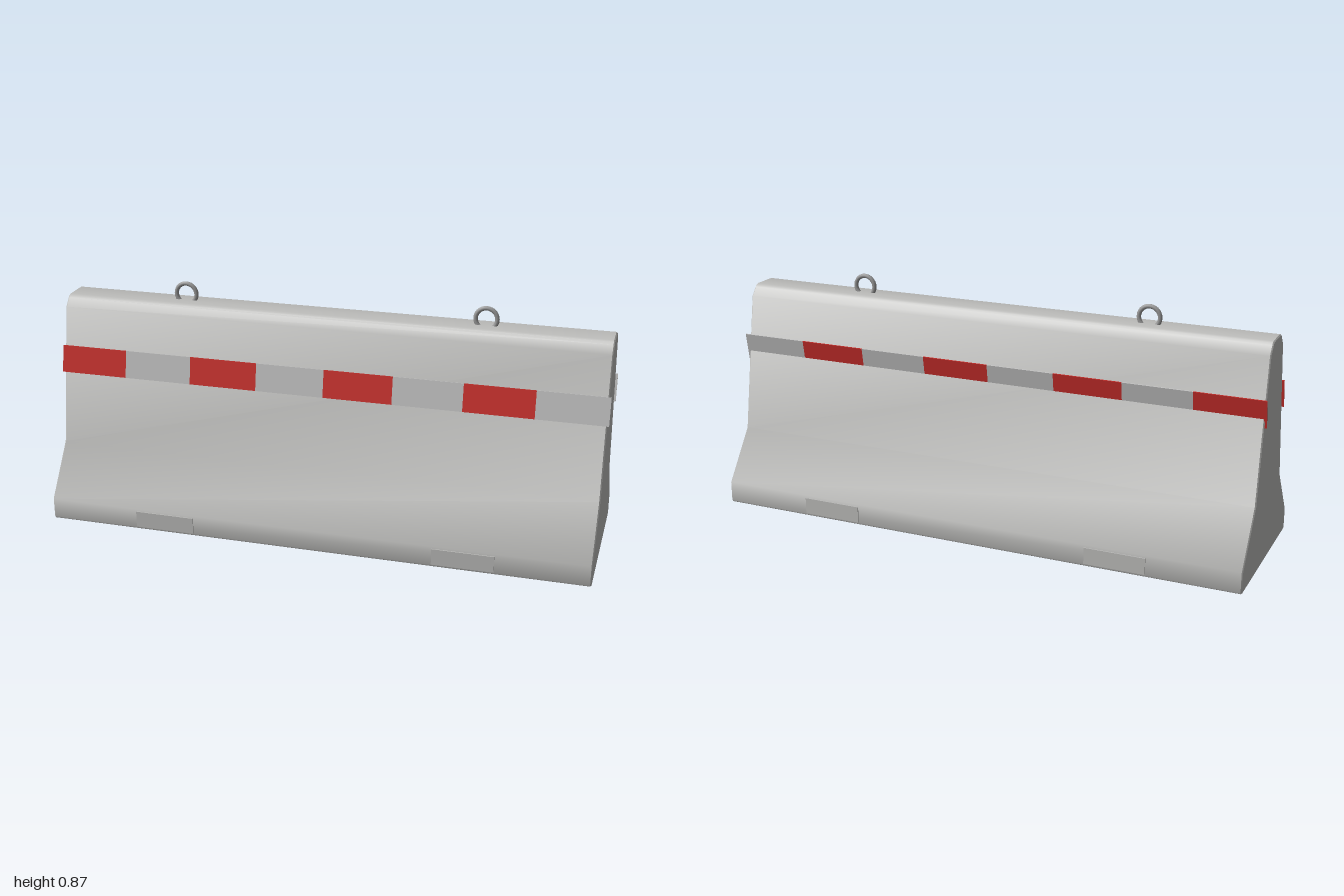
import * as THREE from 'three';
import { toCreasedNormals } from 'three/addons/utils/BufferGeometryUtils.js';

const material = (name, color) => {
  const m = new THREE.MeshStandardMaterial({ color });
  m.name = name;
  return m;
};

export function createModel() {
  const concrete = material('concrete', 0xbcbcba);
  const red = material('reflectiveRed', 0xcc2f2b);
  const white = material('reflectiveWhite', 0xc2c2c2);
  const steel = material('steel', 0x9a9a9a);

  const group = new THREE.Group();
  group.name = 'concreteBarrier';
  const add = (name, geometry, mat, x, y, z) => {
    const mesh = new THREE.Mesh(geometry, mat);
    mesh.name = name;
    mesh.position.set(x, y, z);
    group.add(mesh);
    return mesh;
  };

  // Barrier body: mirrored half profile, extruded along x with a small end bevel
  const half = [
    [0.293, 0], [0.298, 0.003], [0.3, 0.009], [0.3, 0.08], [0.17, 0.26],
    [0.085, 0.76], [0.061, 0.789], [0.055, 0.796], [0.045, 0.8],
  ];
  const outline = [...half, ...half.map(([z, y]) => [-z, y]).reverse()];
  const shape = new THREE.Shape(outline.map(([z, y]) => new THREE.Vector2(z, y)));
  const bevel = 0.004;
  const length = 1.986;
  const body = new THREE.ExtrudeGeometry(shape, {
    depth: length - 2 * bevel,
    bevelEnabled: true,
    bevelSize: bevel,
    bevelThickness: bevel,
    bevelOffset: -bevel,
    bevelSegments: 1,
  });
  body.translate(0, 0, -(length / 2 - bevel));
  body.rotateY(Math.PI / 2);
  add('barrierBody', toCreasedNormals(body, 0.7), concrete, 0, 0, 0);

  // Reflective bands: alternating plates, both tilted the same way
  const plate = new THREE.BoxGeometry(0.25, 0.1, 0.004);
  for (const [side, z] of [['front', 0.121], ['back', -0.121]]) {
    for (let i = 0; i < 8; i++) {
      const isRed = i % 2 === 0;
      const mesh = add(side + (isRed ? 'RedStripe' : 'WhiteStripe'), plate,
        isRed ? red : white, -0.875 + i * 0.25, 0.571, z);
      mesh.rotation.x = -0.17;
    }
  }

  // Lifting loops on top and forklift pocket plates at the base
  const loop = new THREE.TorusGeometry(0.038, 0.008, 10, 28);
  const pocket = new THREE.BoxGeometry(0.22, 0.06, 0.02);
  for (const x of [-0.55, 0.55]) {
    add('liftingLoop', loop, steel, x, 0.822, 0);
    for (const z of [-0.294, 0.294]) add('forkPocket', pocket, concrete, x, 0.041, z);
  }

  return group;
}
